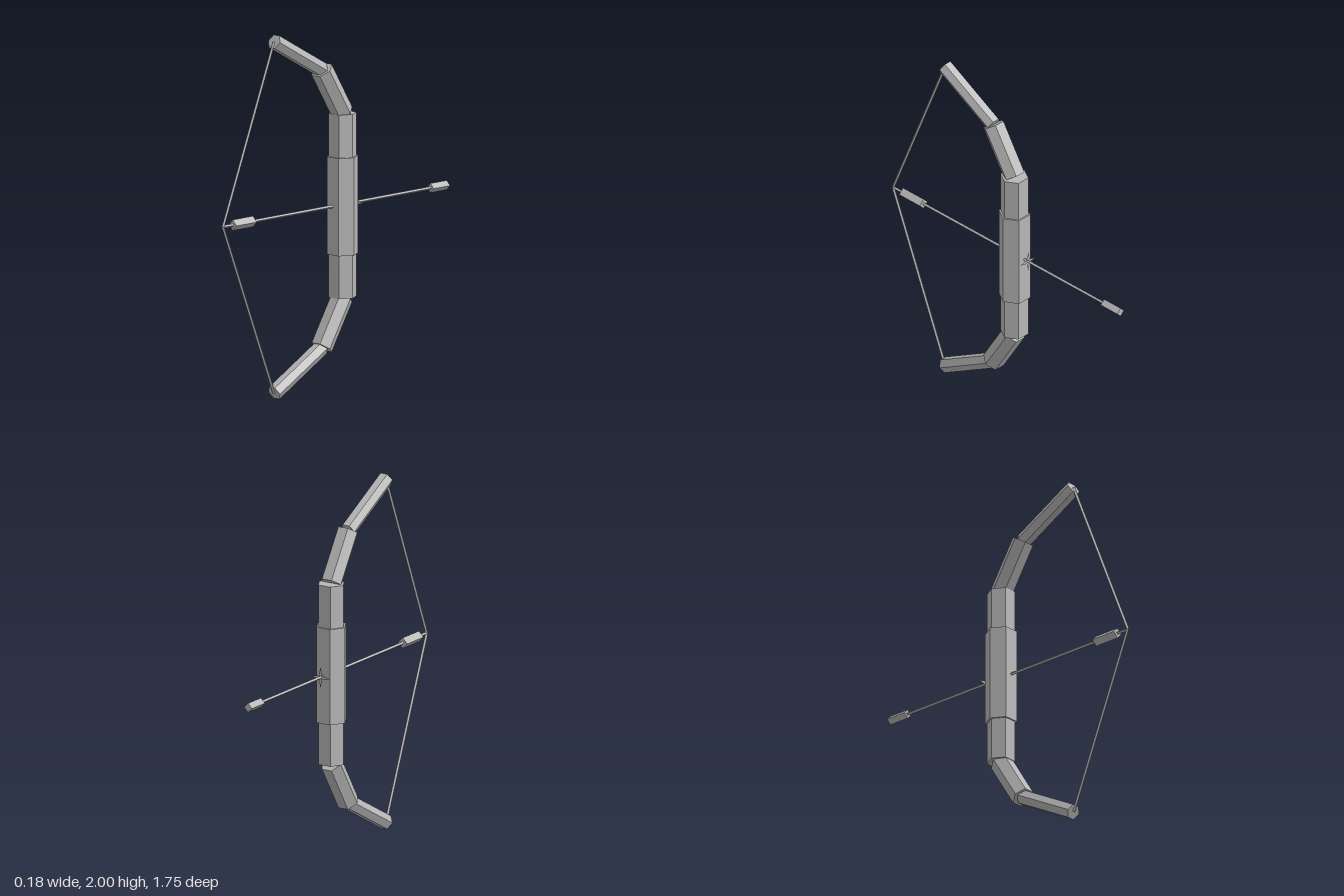
import * as THREE from 'three';

const grey = new THREE.MeshStandardMaterial({ color: 0xb8b8b8, flatShading: true });
grey.name = 'grey';
const greySheet = grey.clone(); // same grey, for the open flat star
greySheet.side = THREE.DoubleSide;

// Straight prism between two [y, z] points, with two corners pointing along +x and -x
function prism(name, a, b, radius, sides) {
  const dy = b[0] - a[0], dz = b[1] - a[1];
  const start = sides === 6 ? Math.PI / 6 : 0;
  const geometry = new THREE.CylinderGeometry(radius, radius, Math.hypot(dy, dz), sides, 1, false, start);
  const mesh = new THREE.Mesh(geometry, grey);
  mesh.name = name;
  mesh.position.set(0, (a[0] + b[0]) / 2, (a[1] + b[1]) / 2);
  mesh.rotation.x = Math.atan2(dz, dy);
  return mesh;
}

export function createModel() {
  const bow = new THREE.Group();
  bow.name = 'bow';
  const mid = 1, gripZ = -0.062;

  // Grip
  bow.add(prism('grip', [mid - 0.269, gripZ], [mid + 0.269, gripZ], 0.088, 6));

  // Riser, limbs and string, mirrored above and below the grip
  for (const [side, s] of [['upper', 1], ['lower', -1]]) {
    const at = (y, z) => [mid + s * y, z];
    bow.add(
      prism(side + 'Riser', at(0.269, gripZ), at(0.506, gripZ), 0.078, 6),
      prism(side + 'InnerLimb', at(0.508, -0.061), at(0.764, 0.099), 0.062, 6),
      prism(side + 'OuterLimb', at(0.764, 0.099), at(0.967, 0.468), 0.0437, 6),
      prism(side + 'String', at(0.965, 0.47), at(0, 0.866), 0.009, 4)
    );
  }

  // Arrow
  const arrow = new THREE.Group();
  arrow.name = 'arrow';
  arrow.add(
    prism('shaft', [mid, 0.866], [mid, -0.86], 0.009, 4),
    prism('fletching', [mid, 0.791], [mid, 0.633], 0.03, 4),
    prism('arrowHead', [mid, -0.746], [mid, -0.873], 0.026, 4)
  );

  // Flat four-pointed star in front of the grip
  const star = new THREE.Shape();
  for (let i = 0; i < 8; i++) {
    const r = i % 2 ? 0.015 : 0.06, t = i * Math.PI / 4;
    star[i ? 'lineTo' : 'moveTo'](r * Math.cos(t), r * Math.sin(t));
  }
  const sight = new THREE.Mesh(new THREE.ShapeGeometry(star), greySheet);
  sight.name = 'starSight';
  sight.position.set(0, mid, -0.167);

  bow.add(arrow, sight);
  return bow;
}
